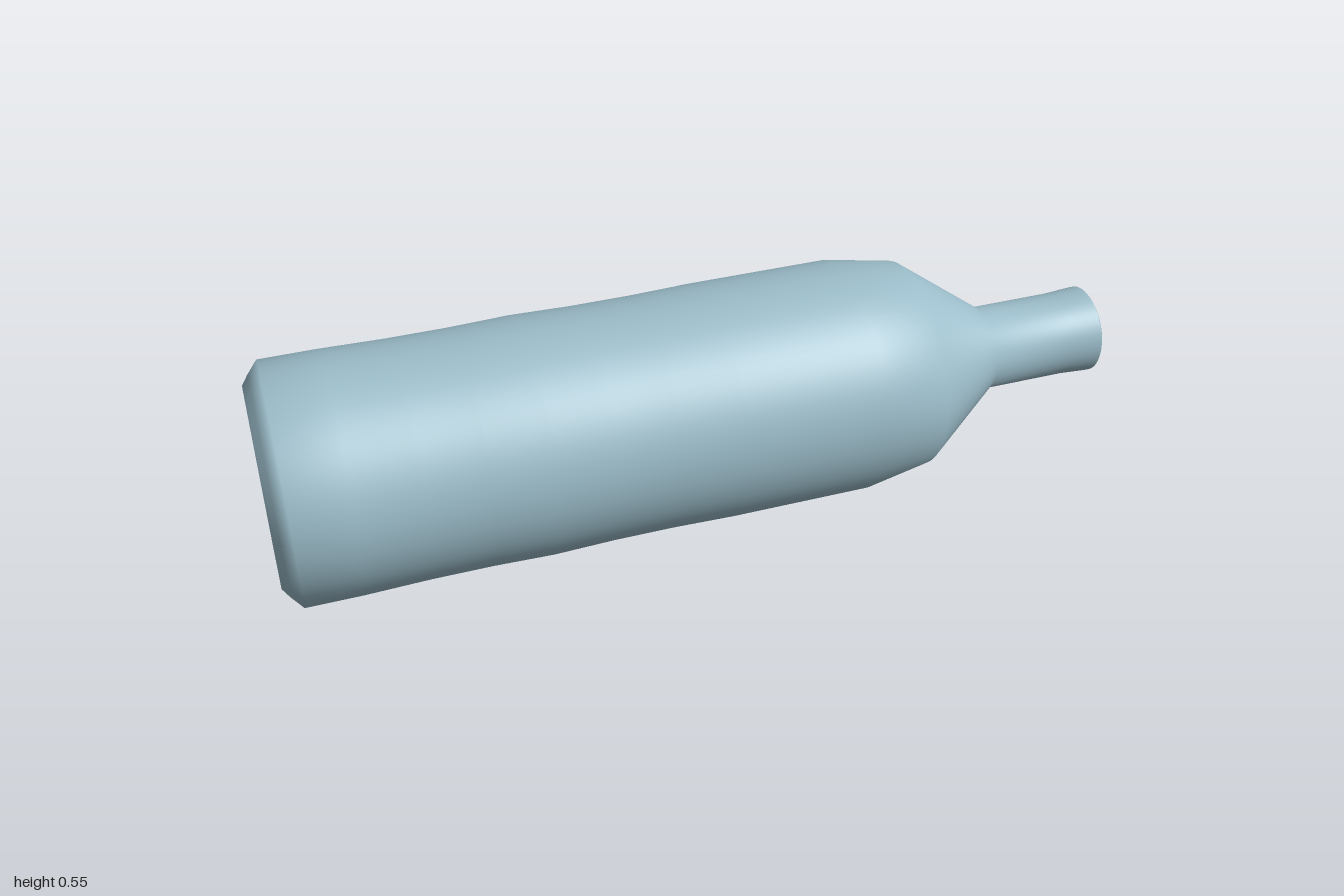
import * as THREE from 'three';

export function createModel() {
  const glass = new THREE.MeshStandardMaterial({ color: 0x9bbcc9 });
  glass.name = 'pale blue glass';

  const bottle = new THREE.Group();
  bottle.name = 'bottle';

  // Each part is turned around the bottle's axis from [position, radius] pairs
  const turn = (name, profile) => {
    const points = profile.map(([along, radius]) => new THREE.Vector2(radius, along));
    const mesh = new THREE.Mesh(new THREE.LatheGeometry(points, 96), glass);
    mesh.name = name;
    bottle.add(mesh);
  };

  // Flat base
  turn('base', [[-1, 0], [-1, 0.225]]);

  // Chamfered foot, gently waved body, shoulder and neck
  turn('outerWall', [
    [-1, 0.225], [-0.985, 0.246], [-0.96, 0.2755], [-0.83, 0.2755],
    [-0.68, 0.272], [-0.54, 0.272], [-0.4, 0.2755],
    [-0.26, 0.272], [-0.12, 0.272], [0.03, 0.2755],
    [0.36, 0.2755], [0.52, 0.247], [0.72, 0.1],
    [0.92, 0.1], [0.985, 0.104], [0.997, 0.104],
  ]);

  // Slightly rounded lip
  turn('lip', [[0.997, 0.104], [1, 0.1], [1, 0.087], [0.997, 0.082], [0.985, 0.08]]);

  // Bore and hollow inside
  turn('innerWall', [
    [0.985, 0.08], [0.93, 0.076], [0.71, 0.076], [0.51, 0.222],
    [0.35, 0.25], [-0.93, 0.25], [-0.97, 0.21],
  ]);
  turn('innerFloor', [[-0.97, 0.21], [-0.97, 0]]);

  // Lay the bottle on its side with the mouth toward +x
  bottle.rotation.z = -Math.PI / 2;
  bottle.position.y = 0.276;

  const model = new THREE.Group();
  model.name = 'lyingBottle';
  model.add(bottle);
  return model;
}
